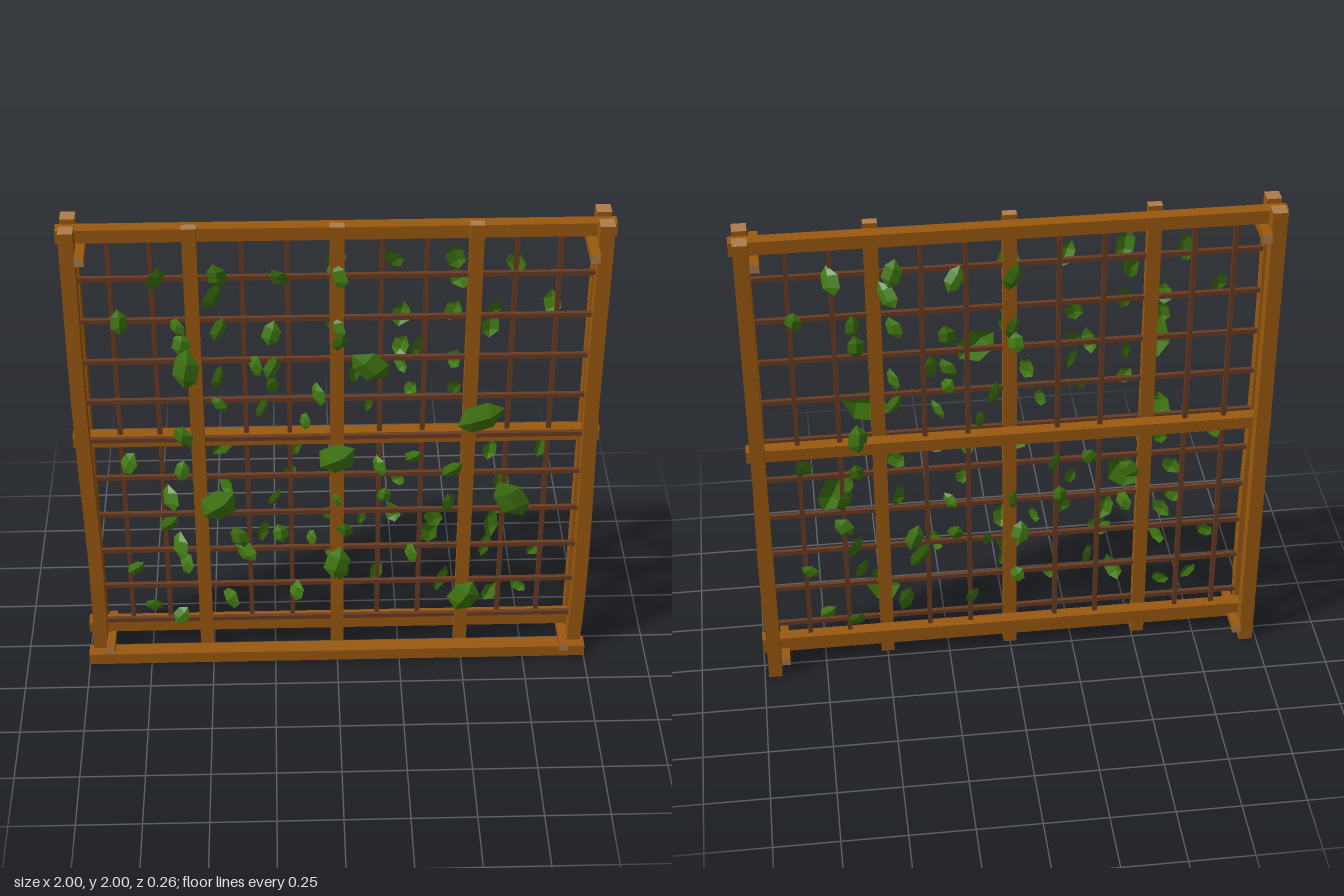
import * as THREE from 'three';

const mat = (name, color, extra = {}) => {
  const m = new THREE.MeshStandardMaterial({ color, flatShading: true, ...extra });
  m.name = name;
  return m;
};

// small seeded generator for leaf variation
function seeded(seed) {
  return () => {
    seed = (seed * 16807) % 2147483647;
    return seed / 2147483647;
  };
}

// folded six-sided leaf, unit width and length, with a raised midrib
function leafGeometry() {
  const rim = [[0, 0.5], [-0.42, 0.24], [-0.5, -0.2], [0, -0.5], [0.42, -0.3], [0.5, 0.14]];
  const pos = [];
  rim.forEach(([x, y]) => pos.push(x, y, 0));
  pos.push(0.04, 0.18, 0.16, -0.04, -0.2, 0.16);
  const g = new THREE.BufferGeometry();
  g.setAttribute('position', new THREE.Float32BufferAttribute(pos, 3));
  g.setIndex([0, 1, 6, 1, 7, 6, 1, 2, 7, 2, 3, 7, 3, 4, 7, 4, 6, 7, 4, 5, 6, 5, 0, 6]);
  g.computeVertexNormals();
  return g;
}

export function createModel() {
  const root = new THREE.Group();
  root.name = 'gardenTrellis';
  const wood = mat('wood', 0x9c5a0f);
  const endGrain = mat('endGrain', 0xae7d4c);
  const darkWood = mat('darkWood', 0x6a3c22);
  const leafGreen = mat('leafGreen', 0x437d12, { side: THREE.DoubleSide });

  // beam given by its min and max corners; the two ends along its axis show end grain
  function beam(name, axis, [x0, x1], [y0, y1], [z0, z1], bow = 0) {
    const g = new THREE.BoxGeometry(x1 - x0, y1 - y0, z1 - z0, 1, bow ? 8 : 1, 1);
    if (bow) {
      const p = g.attributes.position;
      for (let i = 0; i < p.count; i++) {
        const t = p.getY(i) / (y1 - y0) + 0.5;
        p.setX(i, p.getX(i) + bow * Math.sin(t * Math.PI * 2) * (1 - t));
      }
      g.computeVertexNormals();
    }
    const end = { x: 0, y: 2, z: 4 }[axis];
    const mats = [0, 1, 2, 3, 4, 5].map((i) => (i === end || i === end + 1 ? endGrain : wood));
    const m = new THREE.Mesh(g, mats);
    m.position.set((x0 + x1) / 2, (y0 + y1) / 2, (z0 + z1) / 2);
    m.name = name;
    root.add(m);
  }

  // paired corner posts, front ones slightly bowed
  for (const s of [-1, 1]) {
    const xs = [s * 0.957 - 0.027, s * 0.957 + 0.027];
    beam('frontPost', 'y', xs, [0, 2], [0.03, 0.086], 0.012);
    beam('backPost', 'y', xs, [0, 2], [-0.074, -0.017]);
    // short ties across each pair
    const zs = s < 0 ? [-0.1, 0.125] : [-0.08, 0.155];
    for (const y of [0.08, 1.908]) {
      beam('crossTie', 'z', [s * 0.911 - 0.017, s * 0.911 + 0.017], [y - 0.017, y + 0.017], zs);
    }
  }

  // inner uprights
  for (const x of [-0.525, 0, 0.498]) {
    beam('upright', 'y', [x - 0.026, x + 0.026], [0, 2], [0.03, 0.064]);
  }

  // long rails
  for (const [y, h] of [[1.955, 0.052], [1.052, 0.05], [0.125, 0.05]]) {
    beam('rail', 'x', [-1, 1], [y - h / 2, y + h / 2], [-0.02, 0.03]);
  }
  beam('footRail', 'x', [-1, 1], [0.01, 0.06], [0.066, 0.126]);

  // thin lattice
  function bar(name, w, h, x, y, z) {
    const m = new THREE.Mesh(new THREE.BoxGeometry(w, h, 0.016), darkWood);
    m.position.set(x, y, z);
    m.name = name;
    root.add(m);
  }
  for (const x of [-0.82, -0.67, -0.342, -0.178, 0.162, 0.325, 0.648, 0.806]) {
    bar('latticeUpright', 0.018, 1.78, x, 1.04, 0.012);
  }
  for (let i = 0; i < 10; i++) bar('latticeBar', 1.88, 0.018, 0, 0.178 + i * 0.179, 0.046);

  // leaves
  const rnd = seeded(4127);
  const spread = (a) => (rnd() * 2 - 1) * a;
  const geo = leafGeometry();
  function leaf(parent, x, y, z, w, l, roll, yaw, pitch) {
    const m = new THREE.Mesh(geo, leafGreen);
    m.name = 'leaf';
    m.position.set(x, y, z);
    m.rotation.set(pitch, yaw, roll);
    m.scale.set(w, l, w);
    parent.add(m);
  }

  // large leaves: x, y, width, length, roll
  const large = [
    [-0.556, 1.42, 0.1, 0.2, -0.1], [0.12, 1.42, 0.12, 0.17, 0.9],
    [0.54, 1.18, 0.13, 0.19, -1.2], [0, 1.0, 0.13, 0.17, -0.9],
    [-0.455, 0.785, 0.13, 0.17, -0.8], [0.67, 0.79, 0.12, 0.21, 0.55],
    [0.505, 0.305, 0.12, 0.17, -0.4], [0, 0.485, 0.1, 0.15, -0.2],
  ];
  // scattered small leaves: x, y
  const small = [
    [-0.65, 1.8], [-0.43, 1.82], [-0.45, 1.73], [-0.21, 1.8], [0, 1.8], [-0.79, 1.63],
    [-0.58, 1.6], [-0.57, 1.52], [-0.43, 1.59], [-0.24, 1.56], [0, 1.58], [0.01, 1.52],
    [-0.44, 1.37], [-0.24, 1.42], [-0.3, 1.42], [-0.24, 1.34], [-0.07, 1.3], [-0.44, 1.25],
    [-0.28, 1.23], [-0.12, 1.17], [-0.58, 1.1], [-0.79, 0.98], [-0.59, 0.95], [0.44, 0.93],
    [0.16, 0.96], [0.29, 0.99], [0, 0.8], [-0.24, 0.8], [0.18, 0.82], [-0.64, 0.81],
    [0.43, 0.76], [-0.65, 0.68], [-0.61, 0.59], [-0.38, 0.62], [-0.22, 0.64], [-0.1, 0.61],
    [0.03, 0.63], [-0.79, 0.47], [-0.59, 0.48], [-0.36, 0.54], [0.29, 0.52], [0.02, 0.42],
    [-0.73, 0.27], [-0.62, 0.23], [-0.16, 0.33], [-0.42, 0.31],
  ];

  const front = new THREE.Group();
  front.name = 'frontFoliage';
  const back = new THREE.Group();
  back.name = 'backFoliage';
  root.add(front, back);
  for (const [x, y, w, l, roll] of large) {
    leaf(front, x, y, 0.085, w, l, roll, spread(0.2), spread(0.15));
  }
  for (const [x, y] of small) {
    const l = 0.075 + rnd() * 0.045;
    const w = l * (0.6 + rnd() * 0.15);
    const roll = spread(0.9);
    const yaw = spread(0.85);
    const pitch = spread(0.35);
    leaf(front, x, y, 0.075 + spread(0.015), w, l, roll, yaw, pitch);
    // matching growth behind, drifting away from the frame towards one end
    leaf(back, -x, y, -0.055 - 0.06 * x + spread(0.012), w, l, -roll, Math.PI - yaw, pitch);
  }
  return root;
}
